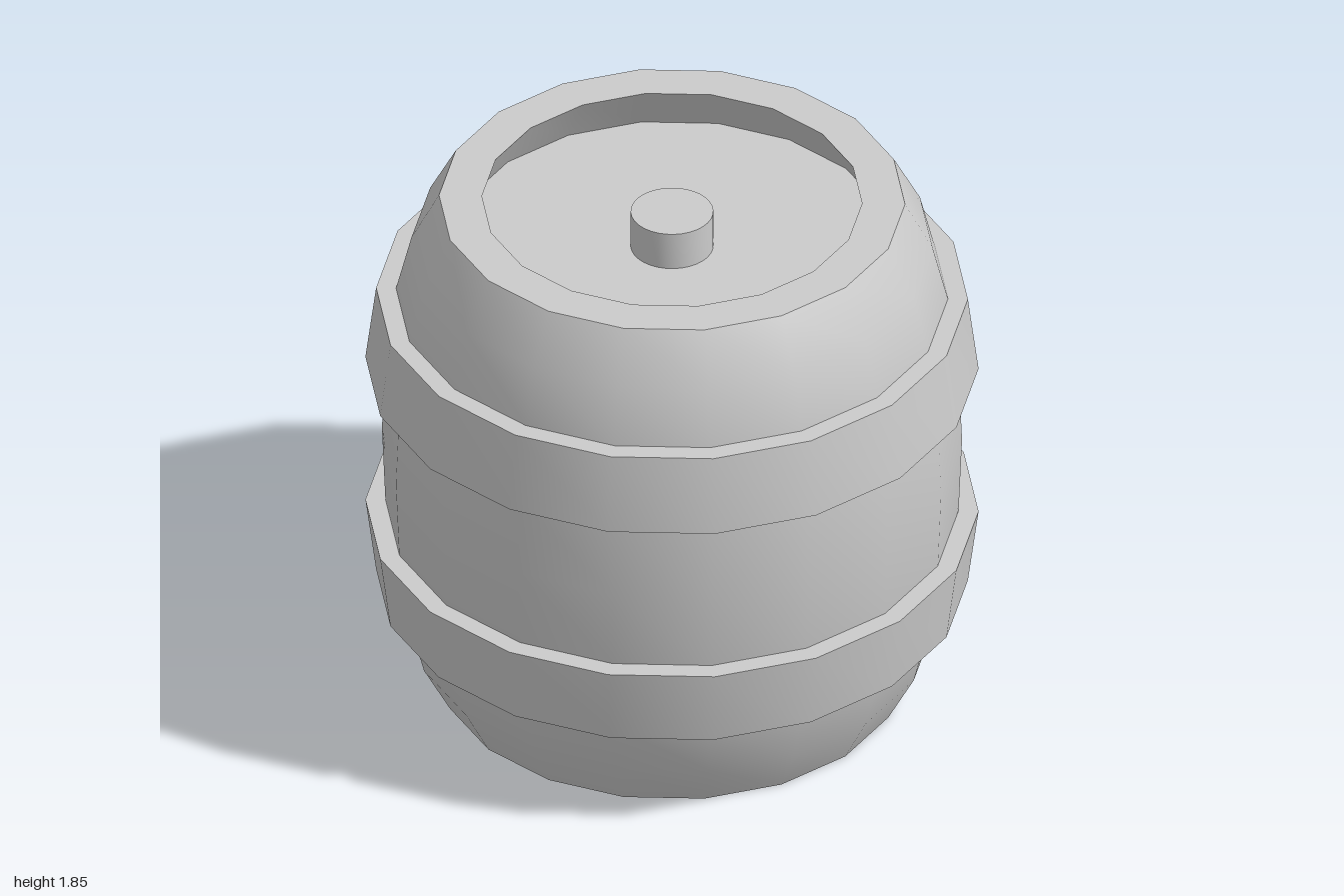
import * as THREE from 'three';
import { toCreasedNormals } from 'three/addons/utils/BufferGeometryUtils.js';

const SIDES = 18;
const HEIGHT = 1.85;
const material = new THREE.MeshStandardMaterial({ color: 0xcccccc });

// Revolve a [radius, y] profile, starting at the +x axis, with sharp rims.
function turned(name, profile, sides = SIDES) {
  const points = profile.map(([r, y]) => new THREE.Vector2(r, y));
  const lathe = new THREE.LatheGeometry(points, sides, Math.PI / 2);
  const mesh = new THREE.Mesh(toCreasedNormals(lathe, Math.PI / 6), material);
  mesh.name = name;
  return mesh;
}

// Turn a profile upside down about the barrel's middle, keeping its winding.
const flip = (profile) => profile.map(([r, y]) => [r, HEIGHT - y]).reverse();

export function createModel() {
  const group = new THREE.Group();
  group.name = 'barrel';

  // Bulging staves, top rim and the recessed lid
  const lowerHalf = [[0.76, 0], [0.85, 0.17], [0.9, 0.37], [0.935, 0.65]];
  group.add(turned('body', [
    [0, 0],
    ...lowerHalf,
    [0.946, HEIGHT / 2],
    ...flip(lowerHalf),
    [0.62, HEIGHT],
    [0.72, 1.67],
    [0, 1.67],
  ]));

  // Two mirrored hoops, wider towards the middle
  const hoop = [[0.87, 0.37], [0.965, 0.37], [1, 0.643], [0.9, 0.643]];
  group.add(turned('lowerHoop', hoop));
  group.add(turned('upperHoop', flip(hoop)));

  // Stopper in the middle of the lid
  group.add(turned('stopper', [[0.135, 1.66], [0.135, 1.805], [0, 1.805]], 32));

  return group;
}
